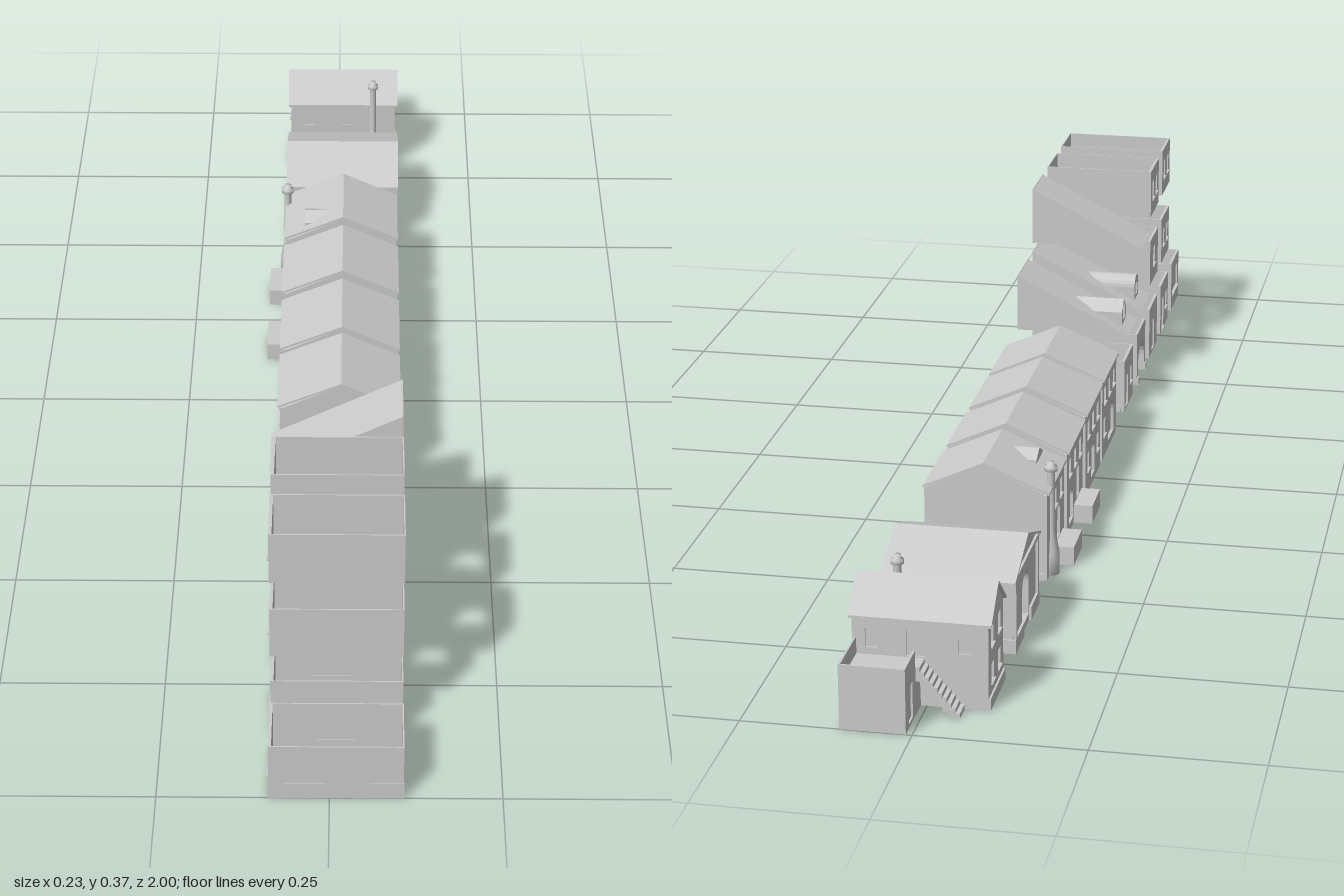
import * as THREE from 'three';

const mat = new THREE.MeshStandardMaterial({ color: 0xcccccc, flatShading: true, side: THREE.DoubleSide });
const smooth = new THREE.MeshStandardMaterial({ color: 0xcccccc, side: THREE.DoubleSide });
const X0 = -0.088, X1 = 0.107; // facade and rear wall

function add(parent, name, geo, x = 0, y = 0, z = 0, m = mat) {
  const mesh = new THREE.Mesh(geo, m);
  mesh.name = name;
  mesh.position.set(x, y, z);
  parent.add(mesh);
  return mesh;
}
// box given by its limits
const box = (p, name, xa, xb, ya, yb, za, zb) =>
  add(p, name, new THREE.BoxGeometry(xb - xa, yb - ya, zb - za), (xa + xb) / 2, (ya + yb) / 2, (za + zb) / 2);

const poly = pts => new THREE.Shape(pts.map(p => new THREE.Vector2(...p)));
const rectPts = (a, b, c, d) => [[a, c], [b, c], [b, d], [a, d]];
const extrude = (shape, depth) => new THREE.ExtrudeGeometry(shape, { depth, bevelEnabled: false, curveSegments: 10 });

// openings: [centre, sill, width, height, arched]
function opening([u, v, w, h, arched]) {
  if (!arched) return poly(rectPts(u - w / 2, u + w / 2, v, v + h));
  const s = new THREE.Shape();
  s.moveTo(u - w / 2, v);
  s.lineTo(u + w / 2, v);
  s.lineTo(u + w / 2, v + h - w / 2);
  s.absarc(u, v + h - w / 2, w / 2, 0, Math.PI, false);
  s.lineTo(u - w / 2, v);
  return s;
}
// slab in the z-y plane reaching from x = xb to the lower x = xa
function slabX(p, name, pts, xa, xb, z, openings = []) {
  const s = poly(pts);
  s.holes = openings.map(opening);
  const m = add(p, name, extrude(s, xb - xa), xb, 0, z);
  m.rotation.y = -Math.PI / 2;
  return m;
}
// slab in the x-y plane from z = za to zb
function slabZ(p, name, pts, za, zb, openings = []) {
  const s = poly(pts);
  s.holes = openings.map(opening);
  return add(p, name, extrude(s, zb - za), 0, 0, za);
}
// thin raised surround below a window
const sills = (p, x, z, list) => list.filter(o => !o[4]).forEach(([u, v, w]) =>
  box(p, 'windowSill', x - 0.003, x, v - 0.003, v, z + u - w / 2 - 0.002, z + u + w / 2 + 0.002));

// open-topped storey with a pierced facade
function storey(root, name, z, y, h, openings, ground) {
  const g = new THREE.Group();
  g.name = name;
  root.add(g);
  const hw = 0.048, t = 0.002;
  slabX(g, 'facade', rectPts(-hw, hw, y, y + h), X0, X0 + 0.003, z, openings.map(o => [o[0], y + o[1], ...o.slice(2)]));
  sills(g, X0, z, openings.map(o => [o[0], y + o[1], ...o.slice(2)]));
  box(g, 'innerFacade', X0 + 0.003, X0 + 0.005, y, y + h, z - hw, z + hw);
  box(g, 'rearWall', X1 - t, X1, y, y + h, z - hw, z + hw);
  for (const s of [-1, 1]) {
    const c = z + s * (hw - t / 2);
    box(g, 'sideWall', X0 + 0.003, X1, y, y + h, c - t / 2, c + t / 2);
    if (ground) box(g, 'plinth', X0, X1 + 0.001, 0, 0.028, c - t / 2 - 0.0005, c + t / 2 + 0.0005);
  }
  if (ground) box(g, 'floor', X0, X1, 0, 0.003, z - hw, z + hw);
}

// storey with a passage through it
function passage(root, z) {
  const g = new THREE.Group();
  g.name = 'passageStorey';
  root.add(g);
  const hw = 0.049, r = 0.036, top = 0.066, H = 0.097;
  const s = [[-hw, 0], [-r, 0], [-r, top - r]];
  for (let i = 1; i <= 12; i++) {
    const a = Math.PI * (1 - i / 12);
    s.push([r * Math.cos(a), top - r + r * Math.sin(a)]);
  }
  const vault = s.slice(1).concat([[r, 0]]);
  const inner = vault.map(([u, v]) => [u * 1.06, v * 1.03]).reverse();
  const outline = s.concat([[r, 0], [hw, 0], [hw, H], [-hw, H]]);
  slabX(g, 'archedFront', outline, X0, X0 + 0.004, z);
  slabX(g, 'archedRear', outline, X1 - 0.004, X1, z);
  slabX(g, 'vault', vault.concat(inner), X0 + 0.004, X1 - 0.004, z);
  for (const d of [-1, 1]) {
    box(g, 'sideWall', X0, X1, 0, H, z + d * (hw - 0.001) - 0.001, z + d * (hw - 0.001) + 0.001);
    const a = z + d * (r + hw) / 2, w = (hw - r) / 2;
    box(g, 'footing', X0 - 0.003, X1 + 0.003, 0, 0.012, a - w, a + w);
  }
}

// single-pitch roof rising to the rear, open below
function wedgeRoof(root, name, z, y, dormer) {
  const g = new THREE.Group();
  g.name = name;
  root.add(g);
  const hw = 0.049, xa = -0.095, h = 0.102;
  const tri = [[xa, y], [X1, y], [X1, y + h]];
  slabZ(g, 'sideWall', tri, z - hw, z - hw + 0.002);
  slabZ(g, 'sideWall', tri, z + hw - 0.002, z + hw);
  slabZ(g, 'roofPlane', [[xa, y], [xa + 0.006, y], [X1, y + h - 0.003], [X1, y + h]], z - hw, z + hw);
  box(g, 'rearWall', X1 - 0.002, X1, y, y + h, z - hw, z + hw);
  if (!dormer) return;
  // dormer running back into the slope
  const w = 0.022, e = y + 0.034, top = y + 0.053, xf = -0.078;
  const front = [[-w, y + 0.01], [w, y + 0.01], [w, e]];
  if (dormer === 'gable') front.push([0, top]);
  else for (let i = 1; i < 10; i++) {
    const a = Math.PI * i / 10;
    front.push([w * Math.cos(a), e + (top - e) * Math.sin(a)]);
  }
  front.push([-w, e]);
  slabX(g, 'dormerFront', front, xf, xf + 0.004, z, [[0, y + 0.016, 0.022, 0.026, dormer !== 'gable']]);
  // each corner runs back to the point where it meets the slope
  const pos = [], idx = [];
  const pts = front.slice(1);
  pts.push(front[0]);
  pts.forEach(([u, v]) => {
    const back = Math.max(xf, xa + (v - y) * (X1 - xa) / h);
    pos.push(xf + 0.003, v, z + u, back, v, z + u);
  });
  for (let i = 0; i < pts.length - 1; i++) idx.push(2 * i, 2 * i + 1, 2 * i + 2, 2 * i + 1, 2 * i + 3, 2 * i + 2);
  const geo = new THREE.BufferGeometry();
  geo.setAttribute('position', new THREE.Float32BufferAttribute(pos, 3));
  geo.setIndex(idx);
  geo.computeVertexNormals();
  add(g, 'dormerShell', geo);
  box(g, 'dormerPane', xf + 0.004, xf + 0.005, y + 0.01, e + 0.008, z - 0.013, z + 0.013);
}

// tapering round chimney
function chimney(p, x, z, r, top) {
  const prof = [[0, 0], [r, 0], [r, 0.035], [r * 0.5, 0.07], [r * 0.45, top - 0.016],
    [r * 0.75, top - 0.014], [r * 0.75, top - 0.007], [r * 0.45, top - 0.006], [r * 0.45, top], [0, top]];
  add(p, 'chimney', new THREE.LatheGeometry(prof.map(q => new THREE.Vector2(...q)), 14), x, 0, z, smooth);
}

// two-storey house with its ridge along z
function rowHouse(root, name, z, openings) {
  const g = new THREE.Group();
  g.name = name;
  root.add(g);
  const hw = 0.074, e = 0.143, r = 0.187, xm = 0.012;
  slabZ(g, 'body', [[X0 + 0.005, 0], [X1, 0], [X1, e], [xm, r], [X0 + 0.005, e]], z - hw, z + hw);
  slabX(g, 'facade', rectPts(-hw, hw, 0, e), X0, X0 + 0.005, z, openings);
  sills(g, X0, z, openings);
  slabZ(g, 'roof', [[X0 - 0.004, e], [xm, r], [X1 + 0.002, e], [X1 + 0.002, e + 0.004], [xm, r + 0.004], [X0 - 0.004, e + 0.004]],
    z - hw - 0.001, z + hw + 0.001);
  box(g, 'plinth', X0 + 0.003, X1 + 0.003, 0, 0.012, z - hw - 0.003, z + hw + 0.003);
  return g;
}

// building with its ridge along x
function gableHall(g, z, xa, xb, hw, e, r, over, front, rear, depth) {
  const pts = [[-hw, 0], [hw, 0], [hw, e], [0, r], [-hw, e]];
  slabX(g, 'body', pts, xa + depth, xb - depth, z);
  slabX(g, 'frontGable', pts, xa, xa + depth, z, front);
  slabX(g, 'rearGable', pts, xb - depth, xb, z, rear);
  const k = hw + over, d = e - over * (r - e) / hw;
  slabX(g, 'roof', [[-k, d], [0, r], [k, d], [k, d + 0.004], [0, r + 0.004], [-k, d + 0.004]], xa - 0.005, xb + 0.005, z);
}

export function createModel() {
  const root = new THREE.Group();
  root.name = 'townBuildingKit';
  const pair = [[-0.02, 0.03, 0.018, 0.032], [0.02, 0.03, 0.018, 0.032]];

  // stacked storeys and roofs
  storey(root, 'shopStorey', 0.952, 0, 0.096, [[0, 0.03, 0.066, 0.044]], true);
  storey(root, 'doorStorey', 0.808, 0, 0.096, [[-0.02, 0.004, 0.024, 0.06], [0.02, 0.034, 0.02, 0.03]], true);
  storey(root, 'archDoorStorey', 0.665, 0, 0.096, [[0, 0.004, 0.03, 0.062, true]], true);
  storey(root, 'entryStorey', 0.371, 0, 0.096, [[-0.02, 0.004, 0.024, 0.062, true], [0.022, 0.034, 0.018, 0.03]], true);
  box(root, 'entryPlinth', X0 + 0.006, X1 + 0.003, 0, 0.012, 0.32, 0.422);
  passage(root, 0.516);
  for (const z of [0.808, 0.665]) {
    storey(root, 'middleStorey', z, 0.143, 0.087, z > 0.7 ? pair : [[0, 0.03, 0.022, 0.034]], false);
    storey(root, 'upperStorey', z, 0.278, 0.087, pair, false);
  }
  wedgeRoof(root, 'plainRoof', 0.516, 0.263);
  wedgeRoof(root, 'roundDormerRoof', 0.516, 0.145, 'round');
  wedgeRoof(root, 'gableDormerRoof', 0.371, 0.145, 'gable');

  // row of houses
  const upper = [-0.046, 0, 0.046].map(u => [u, 0.098, 0.018, 0.028]);
  const low = u => [u, 0.04, 0.018, 0.03];
  const door = (u, v, w = 0.026) => [u, v, w, 0.056, true];
  rowHouse(root, 'wideArchHouse', 0.153, [...upper, [0.02, 0.013, 0.056, 0.062, true], low(-0.05)]);
  rowHouse(root, 'archDoorHouse', -0.015, [...upper, door(0, 0.013, 0.034), low(-0.046), low(0.046)]);
  const stoop = rowHouse(root, 'stoopHouse', -0.19, [...upper, door(0.028, 0.033), [-0.035, 0.013, 0.036, 0.055, true]]);
  box(stoop, 'stoop', -0.119, X0, 0, 0.031, -0.2, -0.125);
  const tall = rowHouse(root, 'chimneyHouse', -0.366, [[0, 0.098, 0.018, 0.028], [0.046, 0.098, 0.018, 0.028], door(0.028, 0.033), low(-0.01)]);
  box(tall, 'stoop', -0.119, X0, 0, 0.031, -0.375, -0.3);
  chimney(tall, -0.088, -0.407, 0.014, 0.187);
  slabX(tall, 'roofDormer', [[-0.025, 0.15], [0.025, 0.15], [0.025, 0.168], [0, 0.18], [-0.025, 0.168]], -0.056, 0.008, -0.333);

  // hall with arched portals at both ends
  const hall = new THREE.Group();
  hall.name = 'archedHall';
  root.add(hall);
  const portal = [[0, 0.012, 0.054, 0.08, true]];
  gableHall(hall, -0.619, -0.088, 0.107, 0.092, 0.117, 0.152, 0.01, portal, portal, 0.02);
  box(hall, 'cornice', -0.092, 0.111, 0.112, 0.119, -0.715, -0.523);
  for (const s of [-1, 1]) {
    box(hall, 'plinth', -0.092, 0.112, 0, 0.022, ...(s < 0 ? [-0.714, -0.648] : [-0.59, -0.524]));
    for (const x of [-0.09, 0.109]) box(hall, 'pilaster', x - 0.002, x + 0.002, 0, 0.112, -0.619 + s * 0.086 - 0.005, -0.619 + s * 0.086 + 0.005);
  }
  box(hall, 'floor', -0.088, 0.107, 0, 0.012, -0.7, -0.53);

  // house with terrace and outside stair
  const house = new THREE.Group();
  house.name = 'terraceHouse';
  root.add(house);
  const four = [-0.024, 0.024].flatMap(u => [[u, 0.035, 0.018, 0.028], [u, 0.092, 0.018, 0.028]]);
  gableHall(house, -0.852, -0.09, 0.108, 0.05, 0.132, 0.176, 0.004, four, [[0, 0.11, 0.02, 0.035, true]], 0.005);
  sills(house, -0.09, -0.852, four);
  box(house, 'plinth', -0.093, 0.111, 0, 0.018, -0.905, -0.799);
  const body = rectPts(-0.09, 0.108, 0, 0.13);
  slabZ(house, 'courtWall', body, -0.905, -0.902, [[0.015, 0.076, 0.028, 0.05, true], [-0.055, 0.085, 0.018, 0.028], [0.08, 0.085, 0.018, 0.028]]);
  slabZ(house, 'sideWall', body, -0.802, -0.799, [[-0.055, 0.088, 0.018, 0.028], [0.015, 0.088, 0.018, 0.028]]);
  chimney(house, 0.066, -0.797, 0.013, 0.184);
  box(house, 'terraceFloor', 0.012, 0.103, 0, 0.074, -0.997, -0.905);
  slabX(house, 'terraceFront', rectPts(-1, -0.937, 0, 0.1), 0.009, 0.013, 0, [[-0.968, 0.006, 0.026, 0.055]]);
  box(house, 'landingEdge', 0.009, 0.013, 0, 0.074, -0.937, -0.905);
  box(house, 'terraceRear', 0.102, 0.105, 0, 0.1, -1, -0.905);
  box(house, 'terraceEnd', 0.009, 0.105, 0, 0.1, -1, -0.997);
  const n = 10;
  for (let i = 0; i < n; i++) {
    const x = -0.055 + i * 0.0064, y = (i + 1) * 0.0074;
    box(house, 'stairStep', x, x + 0.0064, Math.max(0, y - 0.022), y, -0.936, -0.905);
  }
  return root;
}
